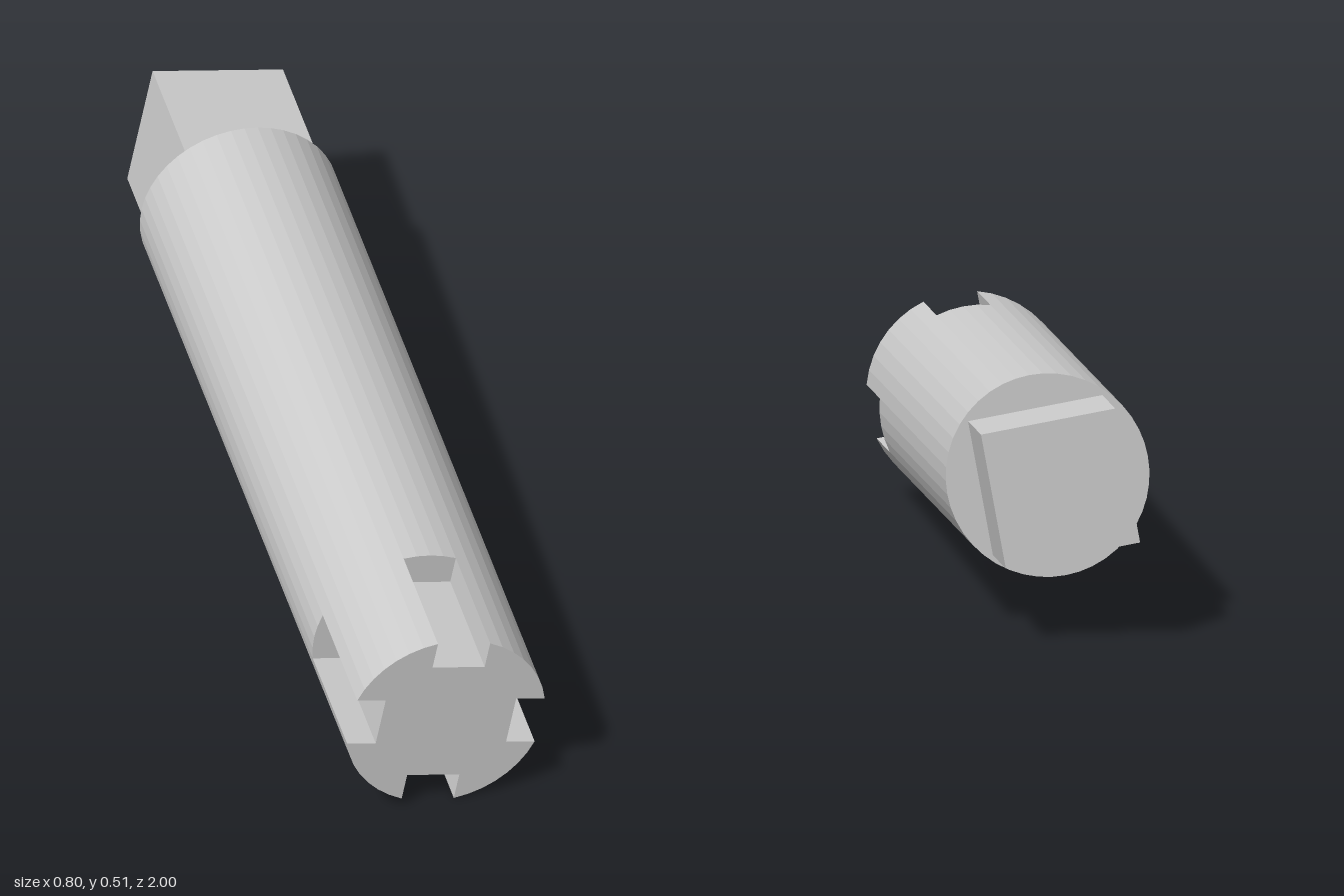
import * as THREE from 'three';

const R = 0.209;          // shaft radius
const FLOOR = 0.14;       // distance of slot floors (and drive flats) from the axis
const HALF_SLOT = 0.056;
const LENGTH = 1.685;
const SLOT_LENGTH = 0.28;
const TANG_LENGTH = 0.275;

const material = new THREE.MeshStandardMaterial({ color: 0xcccccc, flatShading: true });

// Faceted circle outline; each quarter is either round or cut by a slot
function outline(slotted) {
  const edge = Math.asin(HALF_SLOT / R);
  const points = [];
  const add = (r, a) => points.push(new THREE.Vector2(r * Math.cos(a), r * Math.sin(a)));
  for (let q = 0; q < 4; q++) {
    const mid = q * Math.PI / 2;
    if (slotted) {
      const r = Math.hypot(FLOOR, HALF_SLOT), a = Math.atan2(HALF_SLOT, FLOOR);
      add(r, mid - a);
      add(r, mid + a);
    } else {
      for (let i = 1; i < 4; i++) add(R, mid - edge + 2 * edge * i / 4);
    }
    for (let i = 0; i <= 7; i++) add(R, mid + edge + (Math.PI / 2 - 2 * edge) * i / 7);
  }
  return new THREE.Shape(points);
}

function prism(name, shape, from, to) {
  const geometry = new THREE.ExtrudeGeometry(shape, { depth: to - from, bevelEnabled: false });
  geometry.translate(0, 0, from);
  const mesh = new THREE.Mesh(geometry, material);
  mesh.name = name;
  return mesh;
}

export function createModel() {
  const model = new THREE.Group();
  model.name = 'slottedShaft';

  // Tool built along its own z axis, with the back of the round shaft at z = 0
  const tool = new THREE.Group();
  tool.name = 'tool';
  tool.add(prism('shaft', outline(false), 0, LENGTH - SLOT_LENGTH));
  tool.add(prism('slottedEnd', outline(true), LENGTH - SLOT_LENGTH, LENGTH));

  // Square drive at the back
  const drive = new THREE.Mesh(new THREE.BoxGeometry(2 * FLOOR, 2 * FLOOR, TANG_LENGTH), material);
  drive.name = 'squareDrive';
  drive.position.z = -TANG_LENGTH / 2;
  tool.add(drive);

  // Slanted resting pose
  tool.rotation.set(0.0534, -0.2277, -0.178, 'YXZ');
  tool.position.set(0.18, 0.302, -0.69);
  model.add(tool);
  return model;
}
